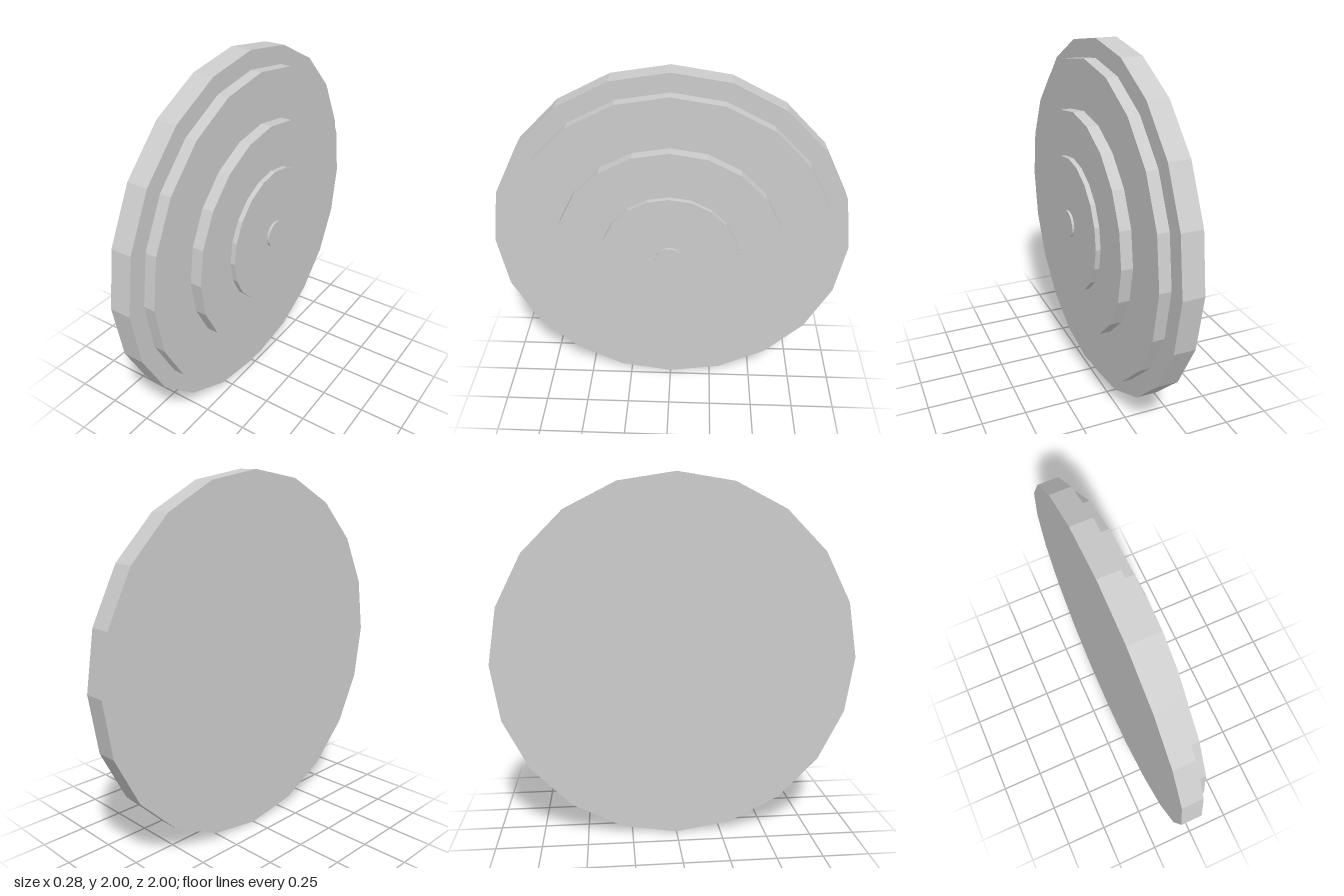
import * as THREE from 'three';

// Stepped round plate: coaxial 20-sided discs stacked along +x.
export function createModel() {
  const group = new THREE.Group();
  group.name = 'steppedDisc';
  const material = new THREE.MeshStandardMaterial({ color: 0xcccccc, flatShading: true });

  // name, radius, x of the back face, x of the outer face
  const discs = [
    ['basePlate', 1, -0.141, -0.025],
    ['outerStep', 0.9, -0.025, 0.038],
    ['middleStep', 0.628, 0.038, 0.101],
    ['innerStep', 0.377, 0.101, 0.128],
    ['centreButton', 0.075, 0.128, 0.141],
  ];

  for (const [name, radius, x0, x1] of discs) {
    const geometry = new THREE.CylinderGeometry(radius, radius, x1 - x0, 20);
    geometry.rotateZ(-Math.PI / 2); // axis along x
    const disc = new THREE.Mesh(geometry, material);
    disc.name = name;
    disc.position.set((x0 + x1) / 2, 1, 0);
    group.add(disc);
  }
  return group;
}
